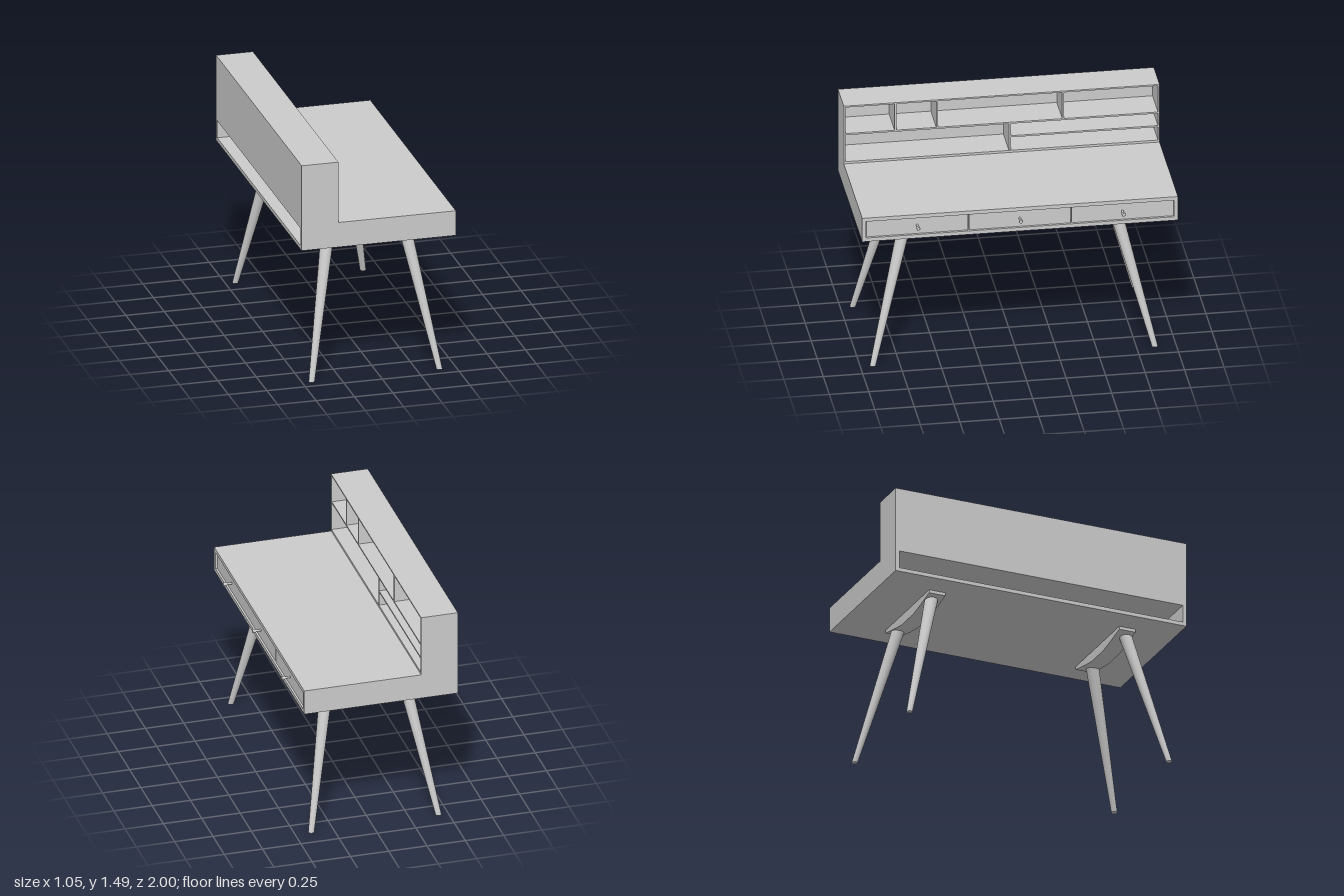
import * as THREE from 'three';

const material = new THREE.MeshStandardMaterial({ color: 0xcccccc });

export function createModel() {
  const desk = new THREE.Group();
  desk.name = 'desk';

  const add = (parent, name, geometry) => {
    const mesh = new THREE.Mesh(geometry, material);
    mesh.name = name;
    parent.add(mesh);
    return mesh;
  };
  const group = (name) => {
    const g = new THREE.Group();
    g.name = name;
    desk.add(g);
    return g;
  };
  // Box given by its lower and upper limits on each axis
  const box = (parent, name, [x0, x1], [y0, y1], [z0, z1]) =>
    add(parent, name, new THREE.BoxGeometry(x1 - x0, y1 - y0, z1 - z0)
      .translate((x0 + x1) / 2, (y0 + y1) / 2, (z0 + z1) / 2));

  const back = -0.524, front = 0.478;

  // Desk case, open at the back
  const deskCase = group('deskCase');
  box(deskCase, 'bottomPanel', [back, front], [0.915, 0.94], [-1, 1]);
  box(deskCase, 'topPanel', [back, front], [1.055, 1.08], [-1, 1]);
  for (const s of [-1, 1]) {
    const z = [s * 0.975, s].sort((a, b) => a - b);
    box(deskCase, 'sidePanel', [back, front], [0.94, 1.055], z);
  }

  // Three drawers, slightly recessed, each an open box with a turned knob
  const face = front - 0.012;
  const knobProfile = [[0, 0], [0.007, 0], [0.007, 0.03], [0.012, 0.038], [0.012, 0.055], [0.009, 0.058], [0, 0.058]]
    .map(([r, h]) => new THREE.Vector2(r, h));
  for (const z of [-0.65, 0, 0.65]) {
    const drawer = group('drawer');
    const z0 = z - 0.322, z1 = z + 0.322, rear = -0.15;
    box(drawer, 'drawerFront', [face - 0.02, face], [0.942, 1.053], [z0, z1]);
    box(drawer, 'drawerBack', [rear, rear + 0.012], [0.942, 1.04], [z0, z1]);
    box(drawer, 'drawerFloor', [rear, face - 0.02], [0.942, 0.952], [z0, z1]);
    box(drawer, 'drawerSide', [rear, face - 0.02], [0.942, 1.04], [z0, z0 + 0.012]);
    box(drawer, 'drawerSide', [rear, face - 0.02], [0.942, 1.04], [z1 - 0.012, z1]);
    const knob = add(drawer, 'knob', new THREE.LatheGeometry(knobProfile, 20));
    knob.rotation.z = -Math.PI / 2;
    knob.position.set(face, 1, z);
  }

  // Hutch with pigeonholes, open toward the sitter
  const hutch = group('hutch');
  const depth = [back, -0.285], inner = [back + 0.01, -0.287];
  box(hutch, 'hutchBottom', depth, [1.08, 1.095], [-1, 1]);
  box(hutch, 'hutchTop', depth, [1.475, 1.485], [-1, 1]);
  box(hutch, 'hutchSide', depth, [1.095, 1.475], [-1, -0.99]);
  box(hutch, 'hutchSide', depth, [1.095, 1.475], [0.99, 1]);
  box(hutch, 'hutchBack', [back, back + 0.01], [1.095, 1.475], [-0.99, 0.99]);
  box(hutch, 'middleShelf', inner, [1.28, 1.291], [-0.99, 0.99]);
  box(hutch, 'smallShelf', inner, [1.185, 1.196], [-0.99, -0.06]);
  box(hutch, 'lowerDivider', inner, [1.095, 1.28], [-0.06, -0.046]);
  for (const z of [0.672, 0.408, -0.39]) {
    box(hutch, 'upperDivider', inner, [1.291, 1.475], [z - 0.006, z + 0.006]);
  }

  // Curved-belly brackets under the case, one for each pair of legs
  const bracketShape = new THREE.Shape([
    [-0.35, 0.915], [-0.35, 0.895], [-0.21, 0.867], [-0.11, 0.85],
    [0.07, 0.85], [0.17, 0.867], [0.31, 0.895], [0.31, 0.915],
  ].map(([x, y]) => new THREE.Vector2(x, y)));
  for (const z of [-0.69, 0.617]) {
    const geometry = new THREE.ExtrudeGeometry(bracketShape, { depth: 0.112, bevelEnabled: false });
    add(desk, 'legBracket', geometry.translate(0, 0, z));
  }

  // Splayed tapering legs, sheared so the feet are cut level with the floor
  const height = 0.9;
  for (const sx of [-1, 1]) {
    for (const sz of [-1, 1]) {
      const geometry = new THREE.CylinderGeometry(0.042, 0.019, height, 32);
      geometry.translate(0, height / 2, 0);
      const p = geometry.attributes.position;
      for (let i = 0; i < p.count; i++) {
        const t = p.getY(i) / height;
        p.setX(i, p.getX(i) - 0.022 + sx * THREE.MathUtils.lerp(0.415, 0.248, t));
        p.setZ(i, p.getZ(i) + 0.027 + sz * THREE.MathUtils.lerp(0.893, 0.665, t));
      }
      geometry.computeVertexNormals();
      add(desk, 'leg', geometry);
    }
  }

  return desk;
}
